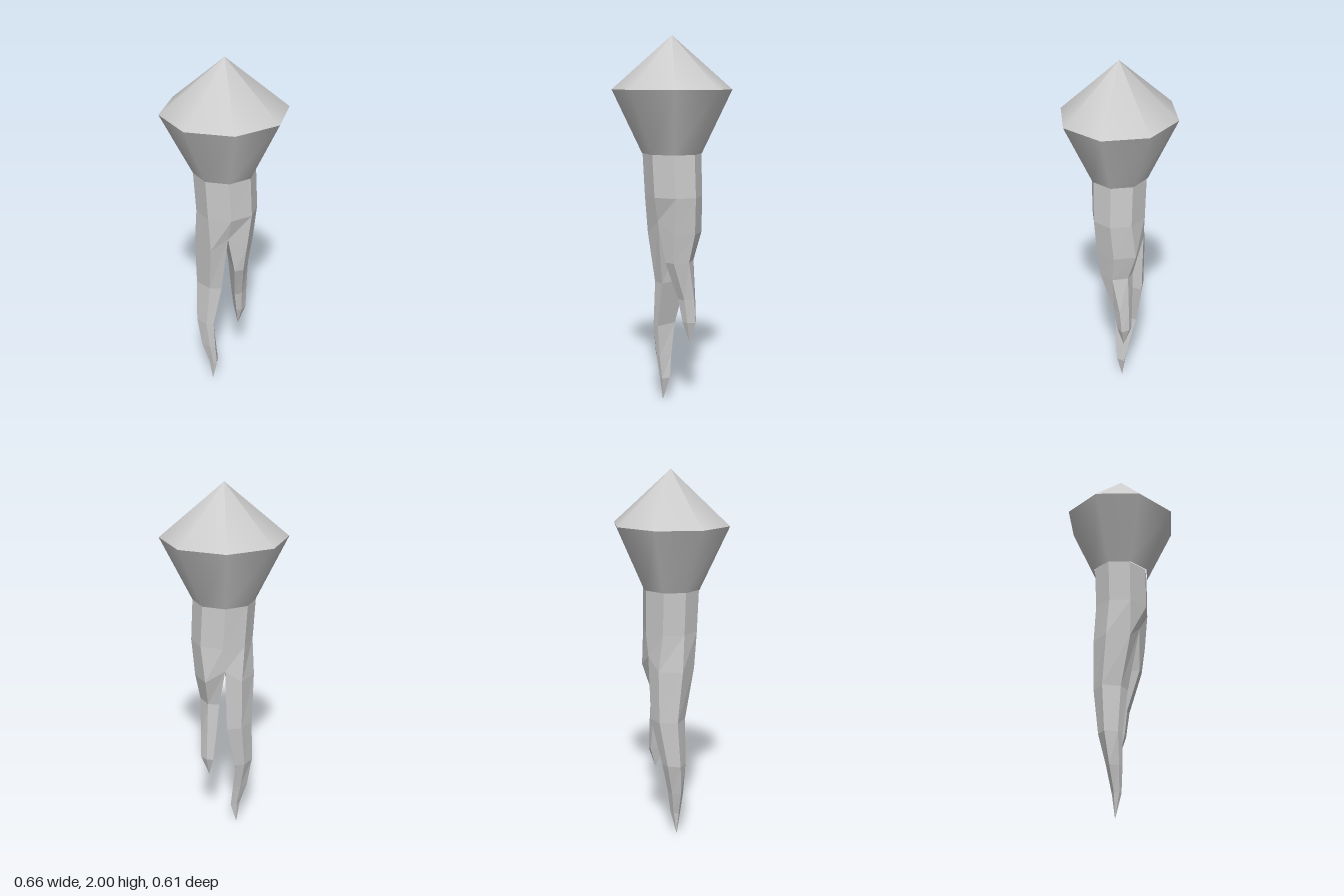
import * as THREE from 'three';

const grey = () => new THREE.MeshStandardMaterial({ color: 0xcccccc });

// Skins a list of rings (top to bottom, counter-clockwise seen from above)
function loft(name, rings, closed) {
  const pos = [];
  for (let r = 0; r < rings.length - 1; r++) {
    const up = rings[r], low = rings[r + 1], n = up.length;
    for (let i = 0; i < n; i++) {
      const j = (i + 1) % n;
      pos.push(...low[i], ...low[j], ...up[j], ...low[i], ...up[j], ...up[i]);
    }
  }
  if (closed) {
    const top = rings[0];
    for (let i = 1; i < top.length - 1; i++) pos.push(...top[0], ...top[i], ...top[i + 1]);
  }
  const geo = new THREE.BufferGeometry();
  geo.setAttribute('position', new THREE.Float32BufferAttribute(pos, 3));
  geo.computeVertexNormals();
  const mat = grey();
  mat.flatShading = true;
  const mesh = new THREE.Mesh(geo, mat);
  mesh.name = name;
  return mesh;
}

// Five-sided root section: flat inner side, rounded outer side
function section([y, outer, diag, inFront, inBack, zF, zB], crotchY = y) {
  const mid = (zF + zB) / 2, half = (zF - zB) / 2 * 0.88;
  const ring = [
    [inBack, crotchY, zB], [diag, y, mid - half], [outer, y, mid],
    [diag, y, mid + half], [inFront, crotchY, zF],
  ];
  return outer < 0 ? ring : ring.reverse();
}

function root(rows, tip) {
  const rings = rows.map((row, i) => section(row, i === 0 ? 1.03 : row[0]));
  rings.push(rings[0].map(() => tip));
  return rings;
}

// Octagonal trunk ring, starting at the back
function octagon(y, cx, rx, rz) {
  return Array.from({ length: 8 }, (_, i) => {
    const t = i * Math.PI / 4;
    return [cx - Math.sin(t) * rx, y, -Math.cos(t) * rz];
  });
}

export function createModel() {
  const group = new THREE.Group();

  // Faceted head: pointed cap over a tapering collar
  const addHead = (name, rTop, rBottom, y0, y1) => {
    const geo = new THREE.CylinderGeometry(rTop, rBottom, y1 - y0, 8, 1, true);
    const mesh = new THREE.Mesh(geo, grey());
    mesh.name = name;
    mesh.scale.z = 0.925;
    mesh.position.y = (y0 + y1) / 2;
    group.add(mesh);
  };
  addHead('cap', 0, 0.33, 1.72, 2);
  addHead('collar', 0.33, 0.165, 1.385, 1.72);

  // Rows: y, outer x, diagonal x, inner front x, inner back x, front z, back z
  const longRoot = root([
    [0.96, -0.16, -0.09, 0, 0, 0.108, -0.135],
    [0.68, -0.15, -0.09, -0.025, -0.01, 0.05, -0.127],
    [0.43, -0.155, -0.11, -0.07, -0.06, 0.04, -0.085],
    [0.26, -0.13, -0.09, -0.06, -0.048, 0.035, -0.045],
    [0.13, -0.09, -0.07, -0.05, -0.037, 0.025, -0.022],
  ], [-0.07, 0, 0]);
  const shortRoot = root([
    [0.96, 0.157, 0.105, 0, 0, 0.108, -0.135],
    [0.81, 0.13, 0.09, 0.04, 0.03, 0.09, -0.085],
    [0.6, 0.13, 0.097, 0.055, 0.05, 0.01, -0.088],
    [0.47, 0.13, 0.1, 0.07, 0.065, -0.012, -0.09],
  ], [0.085, 0.355, -0.05]);

  // Trunk ends where the two roots part
  group.add(loft('trunk', [
    octagon(1.385, 0, 0.165, 0.147),
    octagon(1.16, 0.012, 0.163, 0.143),
    [...longRoot[0], ...shortRoot[0].slice(1, 4)],
  ], true));
  group.add(loft('longRoot', longRoot));
  group.add(loft('shortRoot', shortRoot));
  return group;
}
